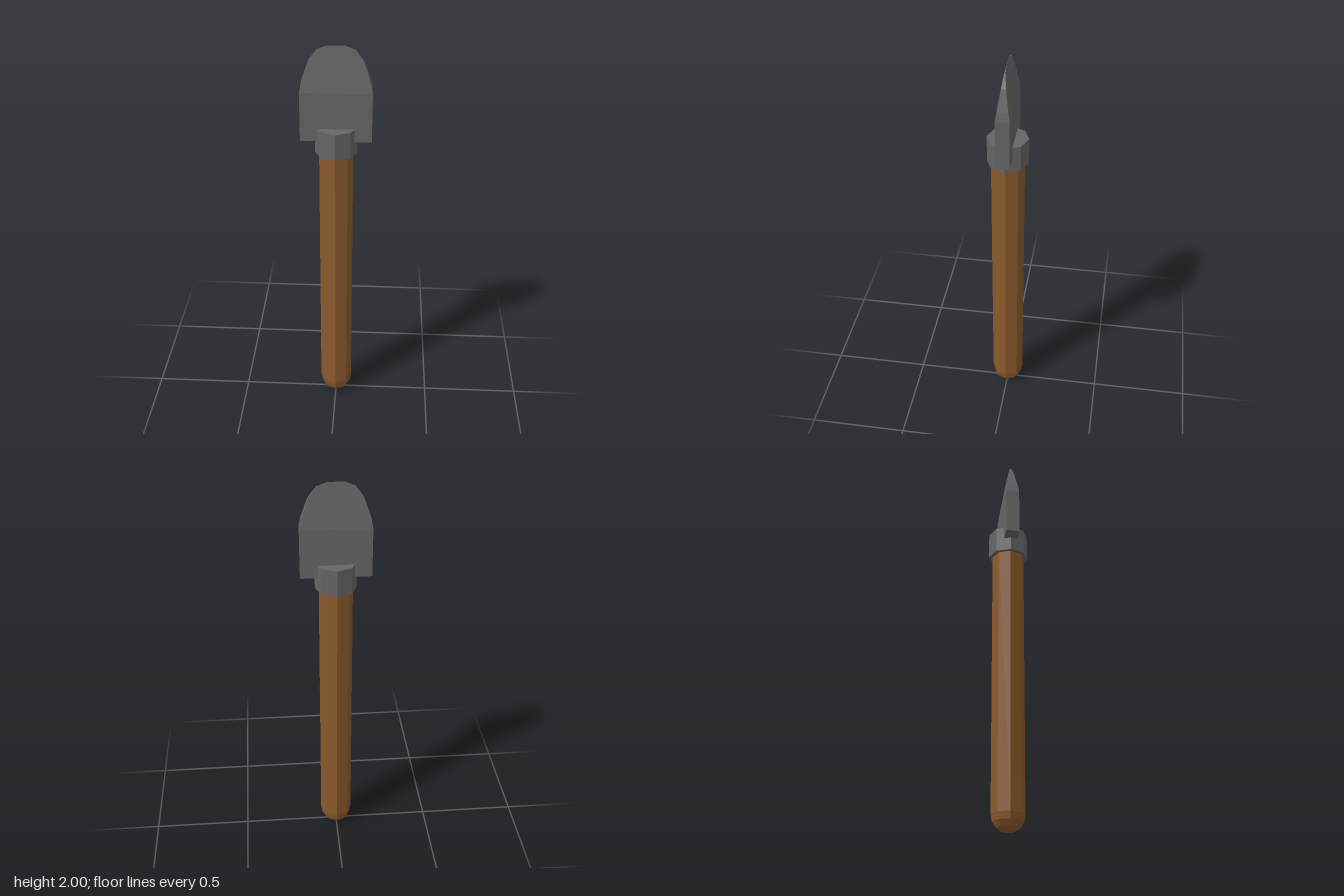
import * as THREE from 'three';

const wood = new THREE.MeshStandardMaterial({ color: 0x8b5a2b, flatShading: true });
const steel = new THREE.MeshStandardMaterial({ color: 0x666666, flatShading: true });

function addPart(group, name, geometry, material) {
  const mesh = new THREE.Mesh(geometry, material);
  mesh.name = name;
  group.add(mesh);
}

// Eight-sided shaft with a rounded butt
function handleGeometry() {
  const profile = [[0, 0], [0.032, 0.005], [0.059, 0.022], [0.077, 0.05], [0.083, 0.085], [0.083, 1.5], [0, 1.5]];
  return new THREE.LatheGeometry(profile.map(([r, y]) => new THREE.Vector2(r, y)), 8);
}

// Flat blade: each level is [height, half width, half thickness]
function bladeGeometry() {
  const levels = [
    [1.535, 0.172, 0.034], [1.78, 0.172, 0.034], [1.825, 0.164, 0.027],
    [1.925, 0.13, 0.0115], [1.98, 0.09, 0.003], [2.0, 0.04, 0.0005],
  ];
  const n = levels.length - 1;
  const geometry = new THREE.BoxGeometry(2, n, 2, 1, n, 1);
  const p = geometry.attributes.position;
  for (let i = 0; i < p.count; i++) {
    const [y, w, d] = levels[Math.round(p.getY(i) + n / 2)];
    p.setXYZ(i, p.getX(i) * w, y, p.getZ(i) * d);
  }
  geometry.computeVertexNormals();
  return geometry;
}

export function createModel() {
  const group = new THREE.Group();
  group.name = 'spade';
  addPart(group, 'handle', handleGeometry(), wood);
  // Octagonal socket joining the shaft and blade
  addPart(group, 'collar', new THREE.CylinderGeometry(0.102, 0.102, 0.135, 8).translate(0, 1.5325, 0), steel);
  addPart(group, 'blade', bladeGeometry(), steel);
  return group;
}
